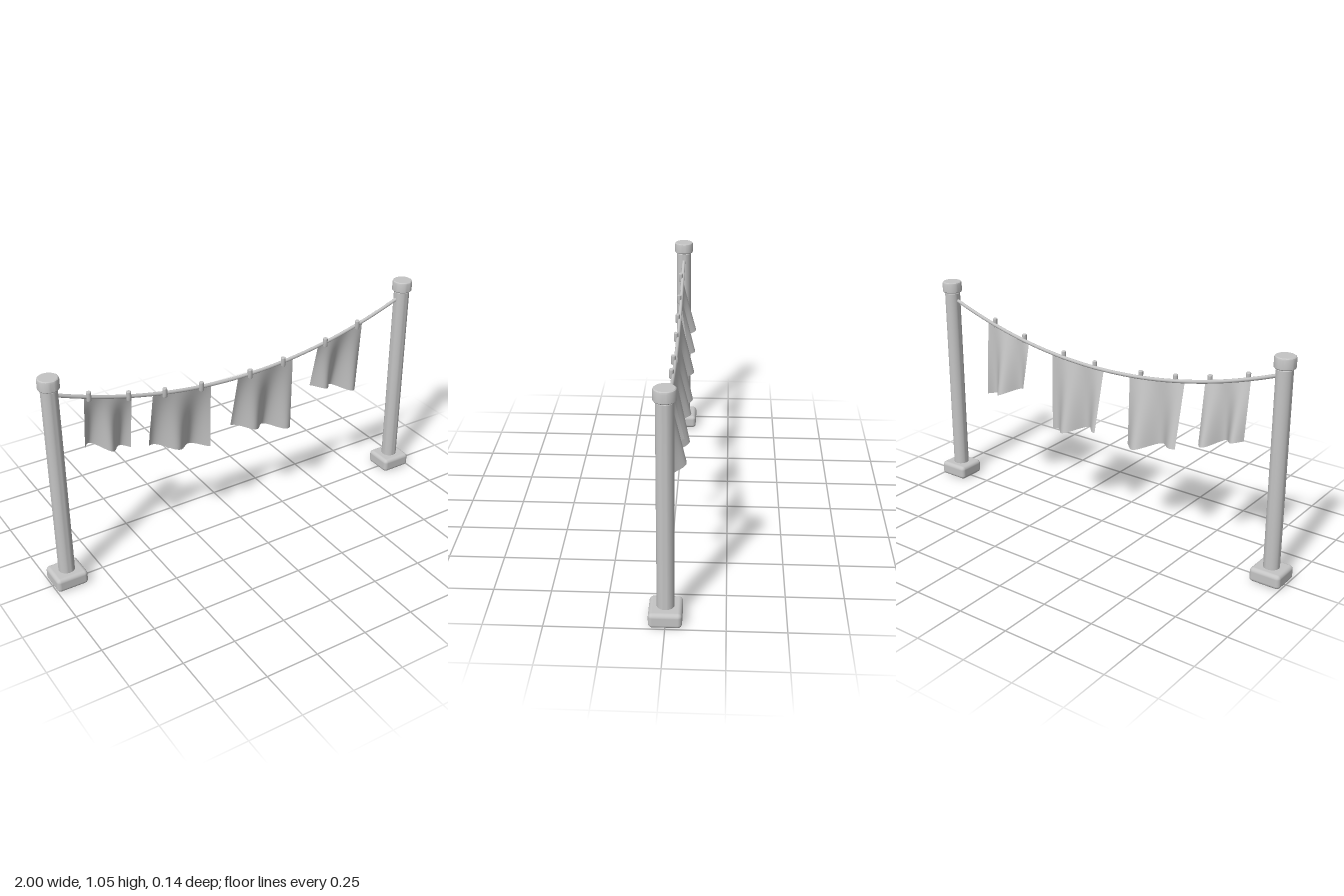
import * as THREE from 'three';
import { toCreasedNormals } from 'three/addons/utils/BufferGeometryUtils.js';
import { RoundedBoxGeometry } from 'three/addons/geometries/RoundedBoxGeometry.js';

const ropeY = (x) => 0.783 + 0.167 * (x / 0.885) ** 2;

// lathe from [radius, height] pairs, sharp at the rims
function lathe(points, segments) {
  const g = new THREE.LatheGeometry(points.map(([r, y]) => new THREE.Vector2(r, y)), segments);
  return toCreasedNormals(g, 0.5);
}

// sheet hung from the rope, its folds deepening towards the hem
function clothGeometry({ x0, x1, bottom, drop, peak, period }) {
  const g = new THREE.PlaneGeometry(1, 1, 32, 12);
  const p = g.attributes.position;
  for (let i = 0; i < p.count; i++) {
    const u = p.getX(i) + 0.5;
    const v = 0.5 - p.getY(i);
    const x = THREE.MathUtils.lerp(x0, x1, u);
    const hem = bottom - drop * THREE.MathUtils.smoothstep(u, 0, 1);
    const fold = 1 + Math.cos((2 * Math.PI * (x - peak)) / period);
    p.setXYZ(i, x, THREE.MathUtils.lerp(ropeY(x), hem, v), -0.036 * fold * v);
  }
  g.computeVertexNormals();
  return g;
}

export function createModel() {
  const model = new THREE.Group();
  model.name = 'clothesline';
  const grey = new THREE.MeshStandardMaterial({ color: 0xc4c4c4, side: THREE.DoubleSide });
  grey.name = 'light grey';

  const add = (name, geometry, parent = model) => {
    const mesh = new THREE.Mesh(geometry, grey);
    mesh.name = name;
    parent.add(mesh);
    return mesh;
  };

  // posts with rounded feet and caps
  const foot = new RoundedBoxGeometry(0.15, 0.068, 0.14, 4, 0.018);
  const pole = lathe([[0.037, 0.04], [0.037, 0.989], [0.033, 0.995], [0.033, 1.0]], 32);
  const cap = lathe([[0, 0.995], [0.044, 0.995], [0.047, 0.999], [0.047, 1.038],
    [0.045, 1.044], [0.041, 1.047], [0, 1.047]], 32);
  for (const side of [-1, 1]) {
    const post = new THREE.Group();
    post.name = side > 0 ? 'leftPost' : 'rightPost';
    post.position.x = side * 0.925;
    add('foot', foot, post).position.y = 0.034;
    add('pole', pole, post);
    add('cap', cap, post);
    model.add(post);
  }

  // sagging rope
  const ropePoints = [];
  for (let i = 0; i <= 24; i++) {
    const x = -0.9 + (1.8 * i) / 24;
    ropePoints.push(new THREE.Vector3(x, ropeY(x), 0));
  }
  add('rope', new THREE.TubeGeometry(new THREE.CatmullRomCurve3(ropePoints), 48, 0.0085, 10));

  // cloths, each held by two pegs
  const cloths = [
    { x0: -0.773, x1: -0.552, bottom: 0.638, drop: 0.07, peak: -0.735, period: 0.148, pegs: [-0.755, -0.57] },
    { x0: -0.449, x1: -0.156, bottom: 0.525, drop: 0.07, peak: -0.23, period: 0.2, pegs: [-0.395, -0.21] },
    { x0: -0.01, x1: 0.291, bottom: 0.492, drop: 0.072, peak: 0.178, period: 0.185, pegs: [0.048, 0.23] },
    { x0: 0.435, x1: 0.692, bottom: 0.585, drop: 0.073, peak: 0.575, period: 0.165, pegs: [0.47, 0.655] },
  ];
  const peg = lathe([[0, -0.018], [0.01, -0.018], [0.011, -0.016], [0.011, 0.023], [0.009, 0.026], [0, 0.026]], 14);
  for (const c of cloths) {
    add('cloth', clothGeometry(c));
    for (const x of c.pegs) add('peg', peg).position.set(x, ropeY(x) + 0.003, 0.009);
  }
  return model;
}
